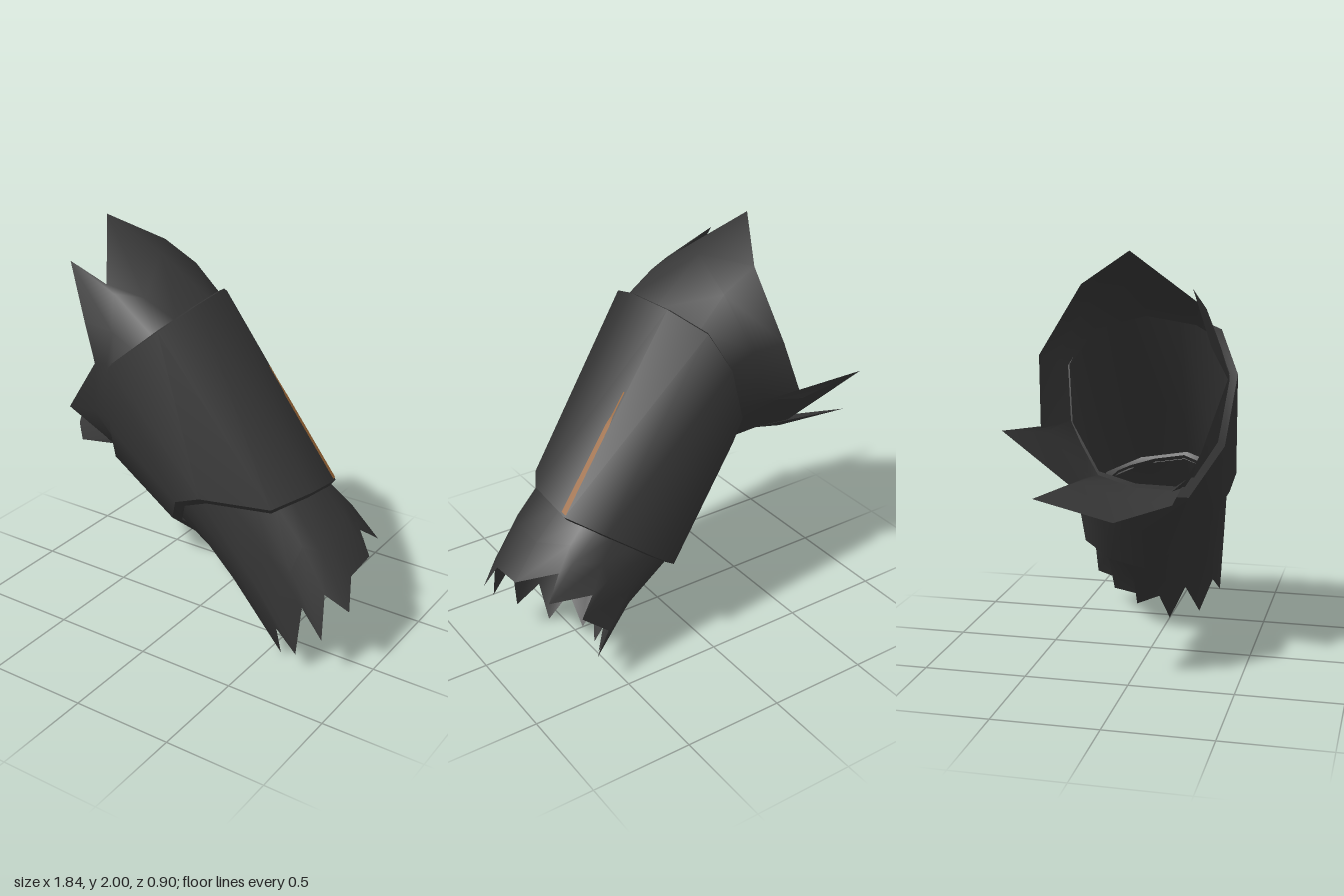
import * as THREE from 'three';

const V = (p) => new THREE.Vector3(...p);
const AXIS = V([0.58, -0.81, 0]).normalize(); // runs down the sleeve

// Outlines of the sleeve's two openings, from the top round by the front
const TOP = [
  [0.07, 1.69, 0.12], [0.0, 1.61, 0.34], [-0.2, 1.43, 0.45], [-0.24, 1.1, 0.4],
  [-0.33, 0.87, 0.25], [-0.33, 0.87, 0], [-0.31, 0.92, -0.2], [-0.24, 1.15, -0.36],
  [-0.14, 1.44, -0.4], [-0.06, 1.61, -0.32], [0.04, 1.69, -0.14],
].map(V);
const BOTTOM = [
  [0.655, 0.87, 0.05], [0.55, 0.83, 0.24], [0.25, 0.86, 0.38], [0.11, 0.8, 0.37],
  [0.035, 0.66, 0.29], [0.055, 0.39, -0.03], [0.09, 0.42, -0.23], [0.16, 0.49, -0.38],
  [0.3, 0.61, -0.43], [0.52, 0.77, -0.36], [0.645, 0.83, -0.2],
].map(V);

// Torn edges: position round the opening, then the point
const UPPER_TEAR = [
  [10.4, -0.52, 2.0, 0.02], [0.5, -0.32, 1.76, 0.29], [1.1, -0.52, 1.84, 0.3],
  [1.5, -0.4, 1.58, 0.36], [2.1, -0.3, 1.42, 0.42], [3.0, -0.53, 1.12, 0.34],
  [3.8, -0.36, 0.92, 0.22], [4.3, -0.56, 0.89, 0.22], [5.0, -0.76, 0.85, 0],
  [5.6, -0.92, 0.98, -0.31], [6.0, -0.59, 0.94, -0.21], [6.6, -0.88, 1.26, -0.45],
  [7.1, -0.59, 1.16, -0.37], [8.0, -0.41, 1.52, -0.43], [9.2, -0.37, 1.84, -0.24],
];
const LOWER_TEAR = [
  [0, 0.88, 0.5, 0.05], [0.4, 0.92, 0.36, 0.13], [0.8, 0.82, 0.45, 0.19],
  [1.2, 0.83, 0.22, 0.22], [1.6, 0.72, 0.36, 0.22], [2.2, 0.7, 0.1, 0.23],
  [2.8, 0.58, 0.19, 0.21], [3.4, 0.57, 0.01, 0.14], [4.0, 0.48, 0.17, 0.08],
  [4.7, 0.455, 0, 0], [5.1, 0.42, 0.13, -0.05], [5.6, 0.5, 0.05, -0.19],
  [6.0, 0.43, 0.13, -0.17], [6.5, 0.56, 0.11, -0.33], [7.0, 0.48, 0.19, -0.28],
  [7.4, 0.63, 0.18, -0.44], [7.8, 0.55, 0.28, -0.41], [8.3, 0.7, 0.42, -0.43],
  [8.8, 0.62, 0.5, -0.39], [9.2, 0.82, 0.5, -0.34], [9.6, 0.73, 0.6, -0.28],
  [10.3, 0.88, 0.52, -0.13],
];

// Smooth skin through rings of equal length, upper ring first
function loft(rings, closed = true) {
  const n = rings[0].length, index = [];
  for (let r = 0; r < rings.length - 1; r++) {
    for (let i = 0; i < (closed ? n : n - 1); i++) {
      const a = r * n + i, b = r * n + ((i + 1) % n);
      index.push(a, b, b + n, a, b + n, a + n);
    }
  }
  const geometry = new THREE.BufferGeometry().setFromPoints(rings.flat());
  geometry.setIndex(index);
  geometry.computeVertexNormals();
  return geometry;
}

// Shrinks a ring towards its centre and slides it along the sleeve
function inset(ring, amount, slide) {
  const centre = ring.reduce((s, p) => s.add(p), new THREE.Vector3()).divideScalar(ring.length);
  return ring.map((p) => p.clone()
    .addScaledVector(centre.clone().sub(p).normalize(), amount)
    .addScaledVector(AXIS, slide));
}

// Point at a fractional position round a ring
function around(ring, u) {
  const i = Math.floor(u);
  return ring[i % ring.length].clone().lerp(ring[(i + 1) % ring.length], u - i);
}

// Torn cloth from an opening to its ragged edge, bent a little halfway
function clothRings(opening, tear, bend) {
  const base = tear.map(([u]) => around(opening, u));
  const edge = tear.map(([, ...p]) => V(p));
  const middle = base.map((p, i) => p.clone().lerp(edge[i], 0.5).add(bend));
  return [base, middle, edge];
}

export function createModel() {
  const cloth = new THREE.MeshStandardMaterial({ color: 0x363636, side: THREE.DoubleSide });
  cloth.name = 'charcoal cloth';
  const orange = new THREE.MeshStandardMaterial({ color: 0x9a6636, side: THREE.DoubleSide });
  orange.name = 'burnt orange';

  const model = new THREE.Group();
  model.name = 'tornSleeve';
  const add = (name, geometry, material = cloth) => {
    const mesh = new THREE.Mesh(geometry, material);
    mesh.name = name;
    model.add(mesh);
  };

  // Outer sleeve and the turned rims at its ends
  add('outerSleeve', loft([TOP, BOTTOM]));
  add('upperRim', loft([inset(TOP, 0.04, -0.02), TOP]));
  add('lowerRim', loft([BOTTOM, inset(BOTTOM, 0.04, 0.02)]));

  // Ragged inner cloth at both ends
  add('upperTornCloth', loft(
    clothRings(inset(TOP, 0.035, 0), UPPER_TEAR, V([0.015, 0.025, 0])).reverse()));
  add('lowerTornCloth', loft(
    clothRings(inset(BOTTOM, 0.04, -0.01), LOWER_TEAR, V([0.01, 0.015, 0]))));

  // Thin stripe along the back of the sleeve, narrowing to a thread at its top
  const stripe = [[0.4, 0.03], [0.51, 0.04], [0.56, 0.1], [0.99, 0.13]].map(([t, width]) =>
    [10.03 - width / 2, 10.03 + width / 2].map((u) =>
      around(TOP, u).lerp(around(BOTTOM, u), t).add(V([0.005, 0.004, 0]))));
  add('stripe', loft(stripe, false), orange);

  return model;
}
